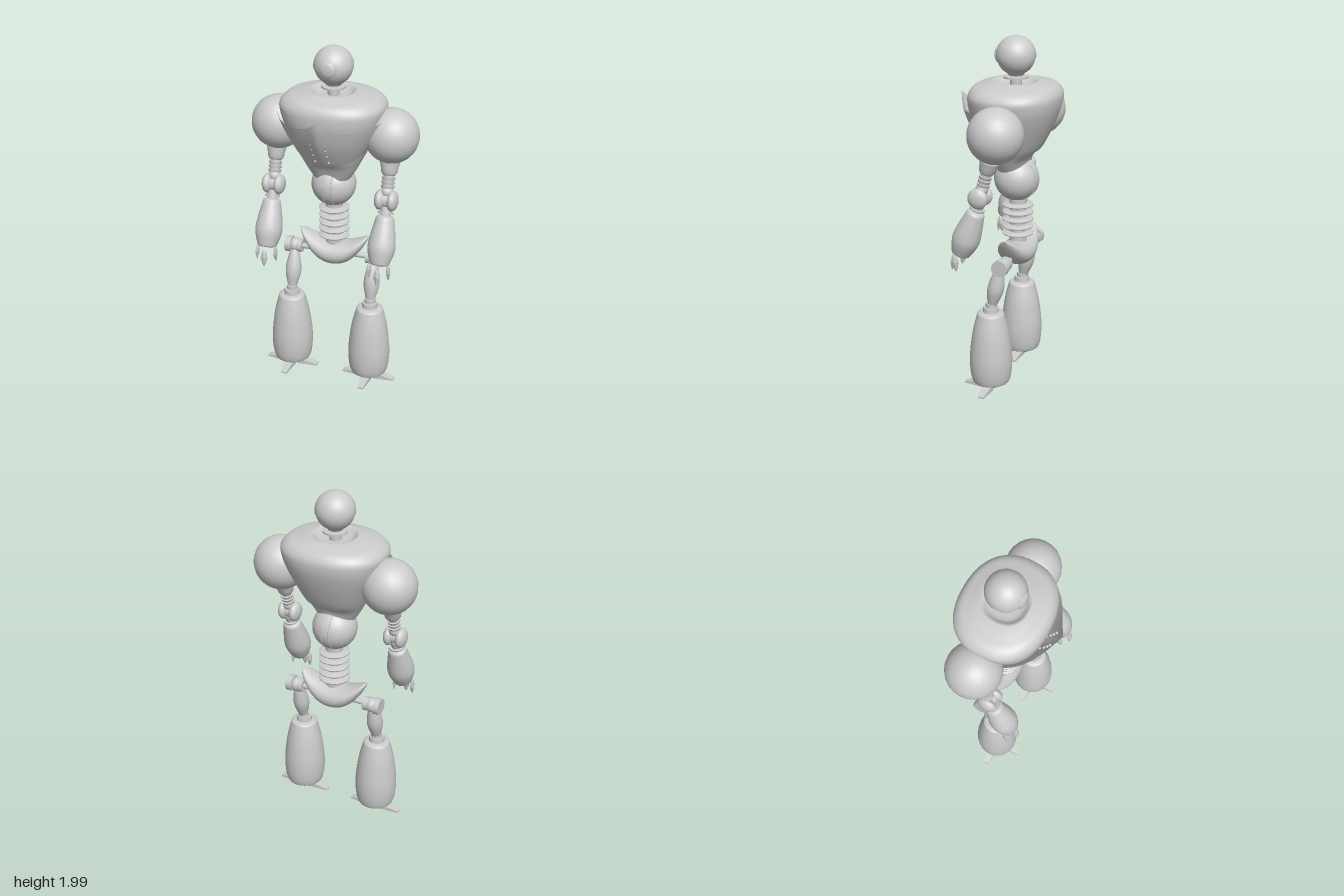
import * as THREE from 'three';

const grey = new THREE.MeshStandardMaterial({ color: 0xcccccc, side: THREE.DoubleSide });
const flat = new THREE.MeshStandardMaterial({ color: 0xcccccc, flatShading: true, side: THREE.DoubleSide });
const V = (x, y, z) => new THREE.Vector3(x, y, z);

function add(parent, name, geo, x = 0, y = 0, z = 0, mat = grey) {
  const m = new THREE.Mesh(geo, mat);
  m.name = name;
  m.position.set(x, y, z);
  parent.add(m);
  return m;
}

const ball = (r, seg = 28) => new THREE.SphereGeometry(r, seg, Math.round(seg * 0.7));
const cyl = (rt, rb, h, seg = 20) => new THREE.CylinderGeometry(rt, rb, h, seg);
const lathe = (pts, seg = 24) => new THREE.LatheGeometry(pts.map(p => new THREE.Vector2(p[0], p[1])), seg);

// smooth lathe through a few [radius, height] points
function smoothLathe(pts, seg = 24, n = 24) {
  const c = new THREE.SplineCurve(pts.map(p => new THREE.Vector2(p[0], p[1])));
  return new THREE.LatheGeometry(c.getPoints(n), seg);
}

// surface from fn(u, v), u and v in 0..1; wrap closes it around u
function surface(fn, nu, nv, wrap) {
  const pos = [], idx = [], w = wrap ? nu : nu + 1;
  for (let j = 0; j <= nv; j++) for (let i = 0; i < w; i++) pos.push(...fn(i / nu, j / nv).toArray());
  for (let j = 0; j < nv; j++) for (let i = 0; i < nu; i++) {
    const a = j * w + i, b = j * w + (i + 1) % w;
    idx.push(a, a + w, b, b, a + w, b + w);
  }
  const g = new THREE.BufferGeometry();
  g.setAttribute('position', new THREE.Float32BufferAttribute(pos, 3));
  g.setIndex(idx);
  g.computeVertexNormals();
  return g;
}

// torso sections from neck well to waist: height, half width, front z, back z
const sections = [
  [1.73, 0.03, -0.01, -0.07], [1.735, 0.09, 0.055, -0.125], [1.758, 0.12, 0.085, -0.155],
  [1.757, 0.14, 0.1, -0.175], [1.745, 0.2, 0.14, -0.215], [1.728, 0.255, 0.185, -0.258],
  [1.69, 0.291, 0.208, -0.282], [1.64, 0.287, 0.21, -0.281], [1.58, 0.268, 0.2, -0.265],
  [1.5, 0.232, 0.178, -0.234], [1.4, 0.182, 0.135, -0.185], [1.32, 0.142, 0.1, -0.13],
  [1.27, 0.112, 0.085, -0.115], [1.23, 0.085, 0.075, -0.11]
];
const sectionA = new THREE.CatmullRomCurve3(sections.map(s => V(s[0], s[1], 0)));
const sectionB = new THREE.CatmullRomCurve3(sections.map(s => V(s[0], s[2], s[3])));
function torsoPoint(angle, t) {
  const a = sectionA.getPoint(t), b = sectionB.getPoint(t);
  const s = Math.sin(angle), c = Math.cos(angle);
  const k = Math.pow(Math.abs(s) ** 2.3 + Math.abs(c) ** 2.3, -1 / 2.3);
  // the lower hem arches up at front and back
  const lift = Math.max(0, 1.38 - a.x) / 0.15 * 0.07 * c * c;
  return V(a.y * s * k, a.x + lift, (b.y + b.z) / 2 + (b.y - b.z) / 2 * c * k);
}
// torso parameter at a given height below the shoulders
function tAtHeight(y) {
  let lo = 6 / 13, hi = 1;
  for (let i = 0; i < 20; i++) {
    const m = (lo + hi) / 2;
    if (sectionA.getPoint(m).x > y) lo = m; else hi = m;
  }
  return lo;
}
// chest plate: u from -1 to 1 across, v from top edge down
function platePoint(u, v) {
  const w = Math.abs(u);
  const top = 1.6 + 0.07 * Math.exp(-w * 6) + 0.035 * w * w, bottom = 1.36 + 0.1 * w * w;
  const ang = u * 1.25, p = torsoPoint(ang, tAtHeight(top + (bottom - top) * v));
  const out = (0.012 + 0.06 * Math.exp(-w * 4)) * (1 - v) ** 0.8 + 0.004;
  return p.add(V(Math.sin(ang) * out, 0, Math.cos(ang) * out));
}

// lower blade shared by the fingers, tip pointing down
const bladeGeo = lathe([[0, -0.052], [0.012, -0.03], [0.022, 0.002], [0.016, 0.03], [0.008, 0.045], [0, 0.047]], 6);
bladeGeo.scale(1, 1, 0.55);

// toe wedge reaching along +z
const toeGeo = new THREE.BoxGeometry(0.06, 0.036, 0.12);
{
  const p = toeGeo.attributes.position;
  for (let i = 0; i < p.count; i++) if (p.getZ(i) > 0) {
    p.setX(i, p.getX(i) * 0.55);
    p.setY(i, p.getY(i) > 0 ? -0.008 : -0.018);
  }
  toeGeo.translate(0, 0.028, 0.097);
}

function makeArm(side) {
  const g = new THREE.Group();
  g.name = side > 0 ? 'leftArm' : 'rightArm';
  g.position.x = side * 0.326;
  add(g, 'shoulder', ball(0.152, 24), 0, 1.53, -0.05);
  // upper arm leans forward to the elbow
  const upper = new THREE.Group();
  upper.name = 'upperArm';
  upper.position.set(side * 0.004, 1.185, 0.038);
  upper.rotation.x = -0.27;
  g.add(upper);
  add(upper, 'armCup', lathe([[0.055, 0.21], [0.048, 0.18], [0.044, 0.155], [0.034, 0.14], [0.03, 0.14]]));
  add(upper, 'armRod', cyl(0.03, 0.026, 0.15), 0, 0.09, 0);
  for (const y of [0.12, 0.098, 0.075]) add(upper, 'armRing', cyl(0.038, 0.034, 0.014), 0, y, 0);
  add(upper, 'elbowCollar', ball(0.034, 18), 0, 0.048, 0);
  for (const s of [-1, 1]) add(upper, 'elbowCap', ball(0.057, 22), s * 0.035, 0, 0).scale.x = 0.55;
  add(upper, 'elbowPin', cyl(0.04, 0.04, 0.07)).rotation.z = Math.PI / 2;
  // forearm
  const fore = new THREE.Group();
  fore.name = 'forearm';
  fore.position.set(side * 0.007, 1.11, 0.056);
  fore.rotation.x = -0.36;
  g.add(fore);
  add(fore, 'forearmNeck', cyl(0.03, 0.03, 0.06), 0, 0.025, 0);
  add(fore, 'forearmRing', cyl(0.042, 0.042, 0.01), 0, 0.008, 0);
  add(fore, 'forearmShell', smoothLathe([[0, -0.285], [0.045, -0.283], [0.058, -0.265], [0.076, -0.2],
    [0.073, -0.14], [0.056, -0.05], [0.044, -0.012], [0, -0.005]]));
  // three claw fingers: one forward, one to each side
  for (const [x, y, z, ry, tilt] of [[0, 0.792, 0.203, 0, -0.08], [-0.055, 0.81, 0.165, Math.PI / 2, 0.15],
    [0.055, 0.81, 0.165, Math.PI / 2, -0.15]]) {
    const f = add(g, 'finger', bladeGeo, side * 0.007 + x, y, z, flat);
    f.rotation.set(ry ? 0 : tilt, ry, 0);
    if (ry) f.rotation.x = -tilt;
  }
  return g;
}

function makeLeg(side) {
  const g = new THREE.Group();
  g.name = side > 0 ? 'leftLeg' : 'rightLeg';
  g.position.x = side * 0.24;
  // hip joint drums on a thin axle
  for (const [name, r, w, x] of [['hipAxle', 0.015, 0.16, -0.08], ['hipInnerDrum', 0.04, 0.03, -0.03],
    ['hipHub', 0.035, 0.06, 0], ['hipOuterDrum', 0.047, 0.035, 0.038]])
    add(g, name, cyl(r, r, w), side * x, 0.768, -0.055).rotation.z = Math.PI / 2;
  add(g, 'hipBall', ball(0.042, 20), 0, 0.768, -0.055);
  // thigh spindle
  const thigh = add(g, 'thigh', smoothLathe([[0.018, -0.13], [0.026, -0.1], [0.043, -0.03], [0.045, 0.02],
    [0.034, 0.085], [0.022, 0.13]]), 0, 0.625, -0.012);
  thigh.rotation.x = -0.22;
  add(g, 'kneeCollar', cyl(0.043, 0.046, 0.035), 0, 0.495, 0.018);
  add(g, 'kneeRing', cyl(0.032, 0.032, 0.03), 0, 0.52, 0.014);
  add(g, 'shin', smoothLathe([[0, 0.05], [0.088, 0.052], [0.108, 0.068], [0.119, 0.13], [0.12, 0.22],
    [0.105, 0.35], [0.082, 0.45], [0.066, 0.48], [0, 0.487]], 28, 36), 0, 0, 0.018);
  // foot ball with three toes
  const ankle = add(g, 'footBall', ball(0.062, 20), 0, 0.046, 0.018);
  ankle.scale.y = 0.6;
  for (const a of [0, Math.PI / 2, -Math.PI / 2])
    add(g, 'toe', toeGeo, 0, 0, 0.018, flat).rotation.y = a;
  return g;
}

export function createModel() {
  const root = new THREE.Group();
  root.name = 'robot';

  // head: upper dome slightly larger than the jaw, with one round eye
  const head = new THREE.Group();
  head.name = 'head';
  head.position.set(0, 1.891, -0.036);
  root.add(head);
  add(head, 'skullDome', new THREE.SphereGeometry(0.109, 32, 16, 0, Math.PI * 2, 0, 1.68));
  add(head, 'jaw', ball(0.105, 32));
  add(head, 'eye', ball(0.046, 24), 0, 0.003, 0.098).scale.z = 0.4;
  add(head, 'eyeRim', new THREE.TorusGeometry(0.045, 0.004, 8, 28), 0, 0.003, 0.099);
  add(root, 'neck', cyl(0.032, 0.032, 0.09), 0, 1.765, -0.036);
  add(root, 'neckDisc', cyl(0.068, 0.068, 0.01), 0, 1.776, -0.036);
  add(root, 'neckCup', cyl(0.055, 0.04, 0.02), 0, 1.796, -0.036);

  // torso shell, chest plate and rivets
  add(root, 'torso', surface((u, v) => torsoPoint(u * Math.PI * 2, v), 56, 52, true));
  add(root, 'chestPlate', surface((u, v) => platePoint(u * 2 - 1, v), 48, 14, false));
  for (const s of [-1, 1]) for (const v of [0.2, 0.35, 0.49, 0.64, 0.82]) {
    const p = platePoint(s * 0.16, v);
    add(root, 'rivet', ball(0.008, 10), s * 0.038, p.y, p.z);
  }

  // belly ball with two seams, ribbed spine
  add(root, 'belly', ball(0.126, 32), 0, 1.205, -0.042);
  for (const x of [-0.022, 0.024])
    add(root, 'bellySeam', new THREE.TorusGeometry(0.124, 0.003, 6, 48), x, 1.205, -0.042).rotation.y = Math.PI / 2;
  add(root, 'spine', cyl(0.049, 0.049, 0.3), 0, 0.97, -0.05);
  for (let i = 0; i < 5; i++)
    add(root, 'spineDisc', lathe([[0.045, -0.012], [0.087, -0.003], [0.087, 0.003], [0.045, 0.012]], 28), 0, 1.053 - i * 0.042, -0.05);

  // crescent pelvis: x, bottom, top, half depth
  const half = [[0, 0.7, 0.845, 0.096], [0.06, 0.712, 0.849, 0.092], [0.11, 0.745, 0.86, 0.08],
    [0.155, 0.797, 0.878, 0.06], [0.19, 0.855, 0.894, 0.032], [0.206, 0.893, 0.896, 0.004]];
  const stations = [...half.slice(1).reverse().map(([x, ...r]) => [-x, ...r]), ...half];
  const pelvisA = new THREE.CatmullRomCurve3(stations.map(s => V(s[0], s[1], s[2])));
  const pelvisB = new THREE.CatmullRomCurve3(stations.map(s => V(s[0], s[3], 0)));
  add(root, 'pelvis', surface((u, v) => {
    const p = pelvisA.getPoint(v), d = pelvisB.getPoint(v).y, a = u * Math.PI * 2;
    return V(p.x, (p.y + p.z) / 2 + (p.z - p.y) / 2 * Math.sin(a), -0.053 + d * Math.cos(a));
  }, 28, 40, true));

  for (const side of [-1, 1]) root.add(makeArm(side), makeLeg(side));
  return root;
}
